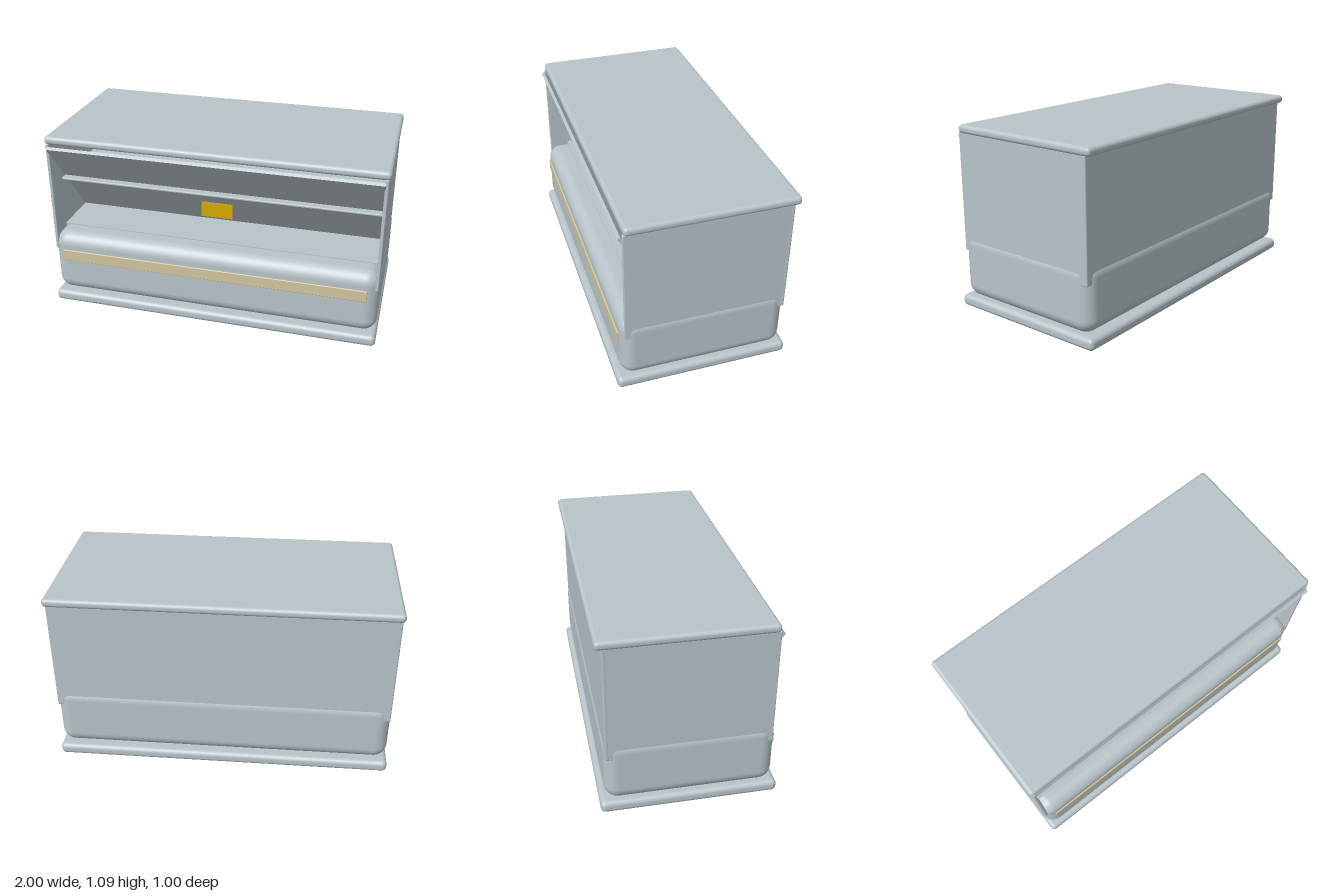
import * as THREE from 'three';
import { RoundedBoxGeometry } from 'three/addons/geometries/RoundedBoxGeometry.js';

function material(name, color) {
  const m = new THREE.MeshStandardMaterial({ color });
  m.name = name;
  return m;
}

export function createModel() {
  const group = new THREE.Group();
  const grey = material('pale grey', 0xb8c4ca);
  const beige = material('beige', 0xd2c6a0);
  const yellow = material('yellow', 0xd4aa00);

  // Box given by its [min, max] extents; a radius rounds its edges
  function box(name, mat, [x0, x1], [y0, y1], [z0, z1], radius = 0) {
    const size = [x1 - x0, y1 - y0, z1 - z0];
    const geometry = radius
      ? new RoundedBoxGeometry(...size, 5, radius)
      : new THREE.BoxGeometry(...size);
    const mesh = new THREE.Mesh(geometry, mat);
    mesh.name = name;
    mesh.position.set((x0 + x1) / 2, (y0 + y1) / 2, (z0 + z1) / 2);
    group.add(mesh);
    return mesh;
  }

  // Base plate, rounded lower body and top board
  box('basePlate', grey, [-1, 1], [0, 0.07], [-0.5, 0.5], 0.028);
  box('lowerBody', grey, [-0.995, 0.995], [0.07, 0.467], [-0.475, 0.475], 0.08);
  box('topBoard', grey, [-1, 1], [1.038, 1.088], [-0.5, 0.452], 0.022);

  // Side walls and back wall
  for (const s of [-1, 1]) {
    const x = s > 0 ? [0.969, 0.989] : [-0.989, -0.969];
    box(s > 0 ? 'leftWall' : 'rightWall', grey, x, [0.355, 1.045], [-0.455, 0.455], 0.006);
  }
  box('backWall', grey, [-0.99, 0.99], [0.355, 1.045], [-0.467, -0.445], 0.008);

  // Inner floor and shelf
  box('innerFloor', grey, [-0.968, 0.968], [0.455, 0.472], [-0.45, 0.337]);
  box('shelf', grey, [-0.968, 0.968], [0.768, 0.782], [-0.45, 0.337], 0.005);

  // Panel sloping from the top front down to the floor
  const slope = box('slopingPanel', grey, [-0.975, 0.975], [0.396, 1.102], [0.241, 0.261]);
  slope.rotation.x = Math.atan2(0.438, 0.554);

  // Front trim strip and small plate
  box('trimStrip', beige, [-0.93, 0.93], [0.292, 0.362], [0.465, 0.483], 0.004);
  box('smallPlate', yellow, [-0.097, 0.093], [0.608, 0.7], [0.271, 0.28]);

  return group;
}
